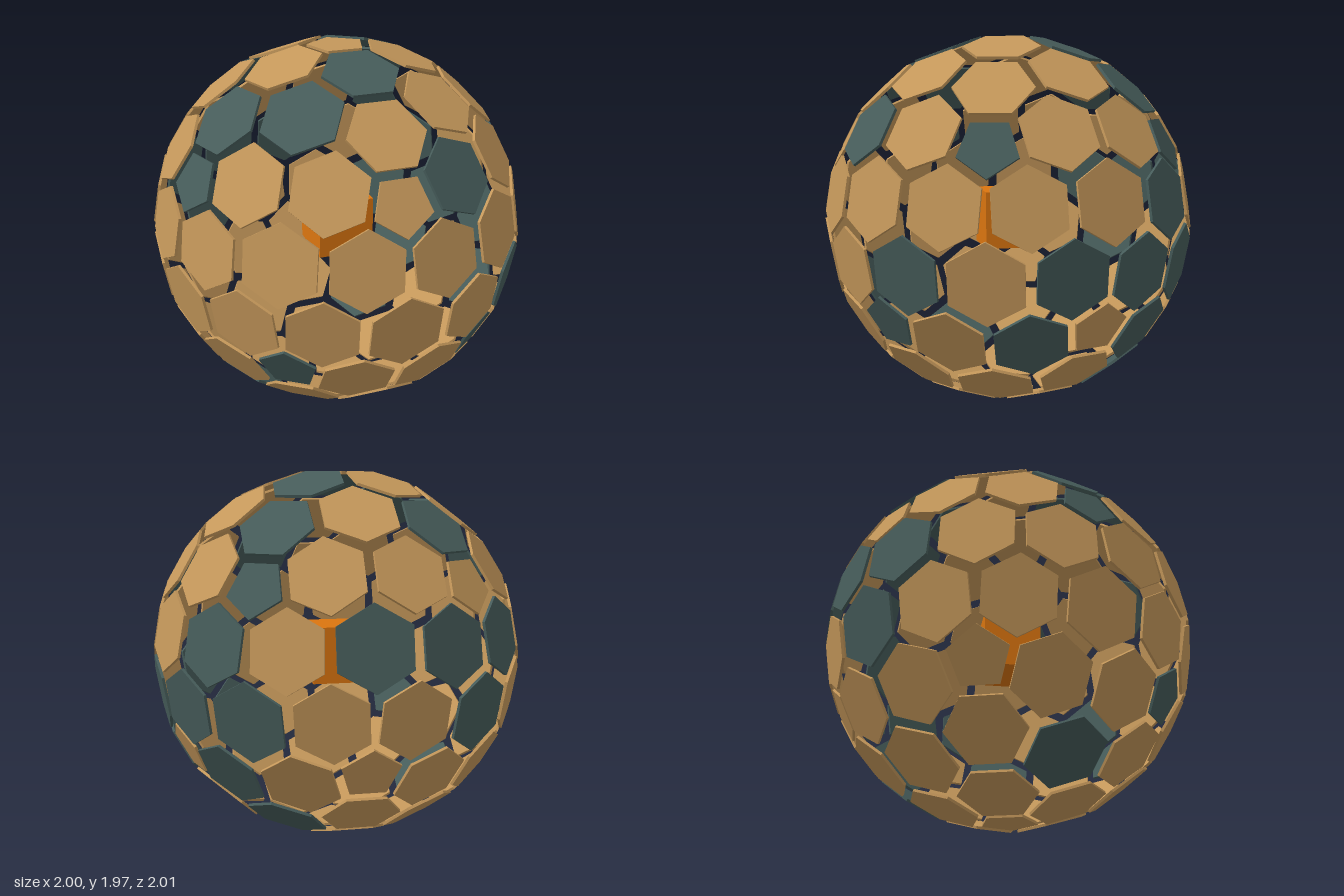
import * as THREE from 'three';

const CENTRE_Y = 1, SHELL = 0.984, THICK = 0.014;

const material = (name, color) => {
  const m = new THREE.MeshStandardMaterial({ color });
  m.name = name;
  return m;
};

// Rings of panels on the upper half; the lower half is the same through the centre.
// y: unit height, base: first azimuth, spread: azimuth offset of paired panels,
// up / low: azimuths of the dark panels above and below.
const RINGS = [
  { y: 0.9392, base: 0, r: 0.203, up: [0, 144], low: [] },
  { y: 0.7947, base: 36, r: 0.21, up: [-36], low: [144, -72] },
  { y: 0.7273, base: 0, r: 0.203, up: [144, -144, -72], low: [] },
  { y: 0.4472, base: 0, r: 0.155, sides: 5, up: [72, 144, -72], low: [36, -36] },
  { y: 0.5149, base: 36, spread: 13.6, r: 0.203, up: [22], low: [86, 130] },
  { y: 0.1716, base: 0, spread: 11.8, r: 0.203, up: [-156, -132, 132], low: [48, 96, 120] },
  { y: 0.1876, base: 36, r: 0.21, up: [180], low: [144, -144] },
];

function direction(y, azimuth) {
  const a = THREE.MathUtils.degToRad(azimuth), h = Math.sqrt(1 - y * y);
  return new THREE.Vector3(h * Math.sin(a), y, h * Math.cos(a));
}

const sameAngle = (a, b) => Math.cos(THREE.MathUtils.degToRad(a - b)) > 0.9995;

function listPanels() {
  const panels = [1, -1].map((y) => ({ n: new THREE.Vector3(0, y, 0), r: 0.155, sides: 5, dark: false }));
  for (const { y, base, spread = 0, r, sides = 6, up, low } of RINGS) {
    for (let k = 0; k < 5; k++) {
      for (const offset of spread ? [-spread, spread] : [0]) {
        const az = base + 72 * k + offset;
        panels.push({ n: direction(y, az), r, sides, dark: up.some((a) => sameAngle(a, az)) });
        panels.push({ n: direction(-y, az + 180), r, sides, dark: low.some((a) => sameAngle(a, az + 180)) });
      }
    }
  }
  return panels;
}

// Thin prism with an edge facing +z
function panelGeometry(r, sides) {
  const g = new THREE.CylinderGeometry(r, r, THICK, sides, 1, false, Math.PI / sides).toNonIndexed();
  g.computeVertexNormals();
  return g;
}

export function createModel() {
  const model = new THREE.Group();
  model.name = 'panelledSphere';
  const tan = material('tan', 0xc4975a);
  const teal = material('darkTeal', 0x465c5a);
  const orange = material('orange', 0xdb750f);

  // Shell of separate five- and six-sided panels
  const shell = new THREE.Group();
  shell.name = 'shell';
  shell.position.y = CENTRE_Y;
  model.add(shell);

  const panels = listPanels();
  const shapes = {};
  for (const p of panels) {
    const key = `${p.sides}:${p.r}`;
    shapes[key] ??= panelGeometry(p.r, p.sides);
    const mesh = new THREE.Mesh(shapes[key], p.dark ? teal : tan);
    mesh.name = p.sides === 5 ? 'pentagonPanel' : 'hexagonPanel';

    // Turn one edge towards the nearest neighbour
    let near = null;
    for (const q of panels) {
      if (q !== p && (!near || q.n.distanceTo(p.n) < near.distanceTo(p.n) - 1e-4)) near = q.n;
    }
    const z = near.clone().addScaledVector(p.n, -near.dot(p.n)).normalize();
    const x = new THREE.Vector3().crossVectors(p.n, z);
    mesh.quaternion.setFromRotationMatrix(new THREE.Matrix4().makeBasis(x, p.n, z));
    mesh.position.copy(p.n).multiplyScalar(SHELL - THICK / 2);
    shell.add(mesh);
  }

  // Cube floating in the middle
  const core = new THREE.Mesh(new THREE.BoxGeometry(0.31, 0.31, 0.31), orange);
  core.name = 'coreCube';
  core.position.y = CENTRE_Y;
  model.add(core);
  return model;
}
